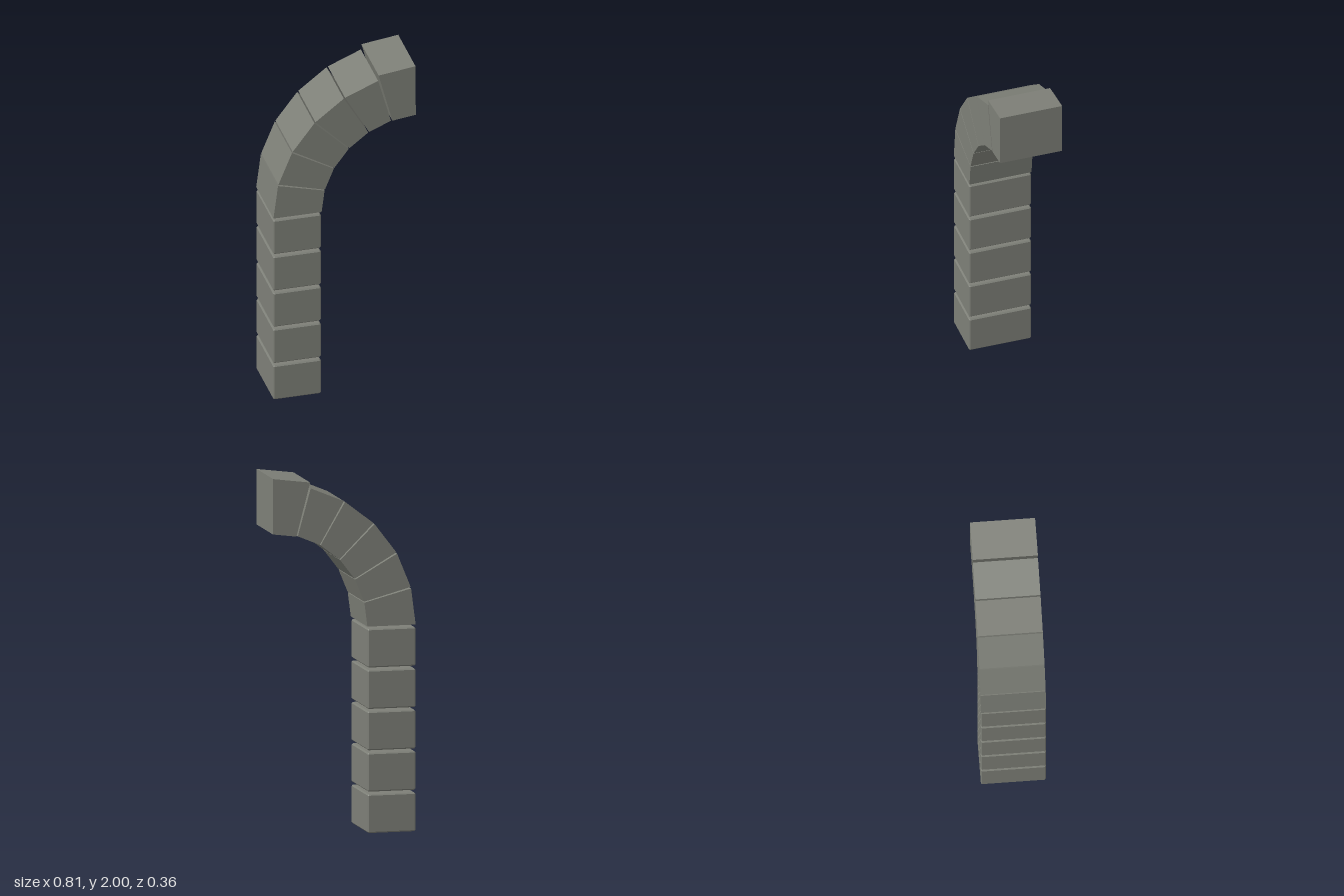
import * as THREE from 'three';
import { ConvexGeometry } from 'three/addons/geometries/ConvexGeometry.js';

const DEPTH = 0.36;
const ARC = { x: 0.409, y: 1.153, inner: 0.541, outer: 0.816 };

// Box with a flat chamfer along every edge
function chamferedBox(w, h, d, c) {
  const points = [];
  for (const sx of [-1, 1]) for (const sy of [-1, 1]) for (const sz of [-1, 1]) {
    const x = w / 2, y = h / 2, z = d / 2;
    points.push(
      new THREE.Vector3(sx * x, sy * (y - c), sz * (z - c)),
      new THREE.Vector3(sx * (x - c), sy * y, sz * (z - c)),
      new THREE.Vector3(sx * (x - c), sy * (y - c), sz * z)
    );
  }
  return new ConvexGeometry(points);
}

// Wedge stone between two angles, measured up from the springing line
function wedge(startDeg, endDeg, inner, outer) {
  const at = (deg, r) => {
    const a = THREE.MathUtils.degToRad(deg);
    return new THREE.Vector2(ARC.x - r * Math.cos(a), ARC.y + r * Math.sin(a));
  };
  const shape = new THREE.Shape([
    at(startDeg, inner), at(endDeg, inner), at(endDeg, outer), at(startDeg, outer)
  ]);
  const geometry = new THREE.ExtrudeGeometry(shape, { depth: DEPTH, bevelEnabled: false });
  return geometry.translate(0, 0, -DEPTH / 2);
}

export function createModel() {
  const group = new THREE.Group();
  group.name = 'halfArch';
  const stone = new THREE.MeshStandardMaterial({ color: 0x7d7f77 });
  stone.name = 'grey stone';

  const add = (name, geometry) => {
    const mesh = new THREE.Mesh(geometry, stone);
    mesh.name = name;
    group.add(mesh);
    return mesh;
  };

  // Pillar of five stacked blocks with open joints
  const block = chamferedBox(0.272, 0.216, DEPTH, 0.007);
  for (let i = 0; i < 5; i++) {
    add(`pillarBlock${i + 1}`, block).position.set(-0.271, 0.108 + i * 0.231, 0);
  }

  // Five arch stones, 15 degrees each with a thin joint
  for (let i = 0; i < 5; i++) {
    add(`archStone${i + 1}`, wedge(i * 15 + 0.1, i * 15 + 14.5, ARC.inner, ARC.outer));
  }

  // Taller half keystone at the crown
  add('keystone', wedge(75.3, 89.7, 0.538, 0.847));

  return group;
}
